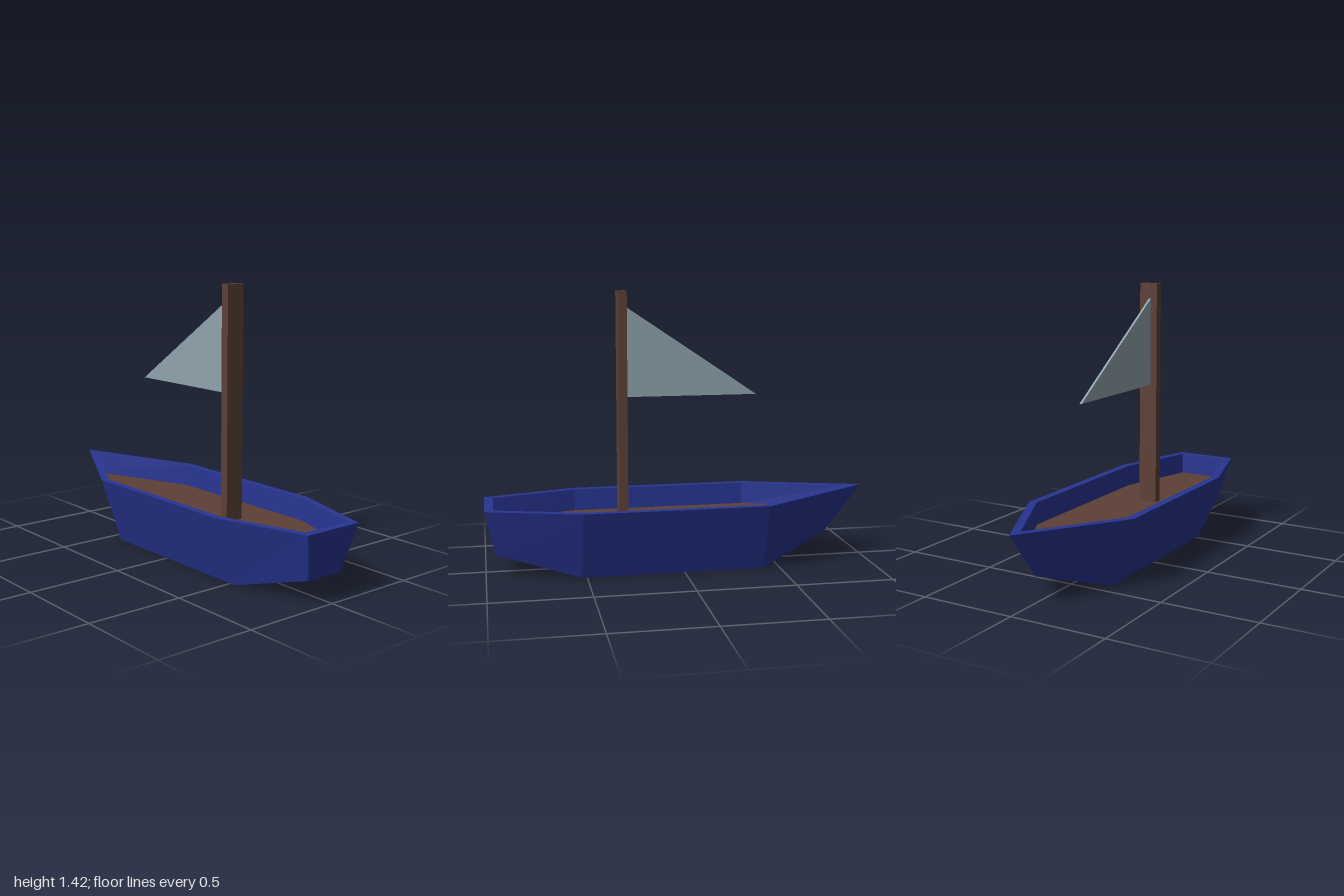
import * as THREE from 'three';

// Plan outline from three [halfWidth, y, z] stations and a bow point, counterclockwise from above
function ring(stations, bow) {
  const left = stations.map(([x, y, z]) => [x, y, z]);
  const right = stations.map(([x, y, z]) => [-x, y, z]).reverse();
  return [...left, [0, ...bow], ...right];
}

// Faces joining two rings, one quad per side
function band(a, b) {
  const tris = [];
  a.forEach((p, i) => {
    const j = (i + 1) % a.length;
    tris.push(p, a[j], b[j], p, b[j], b[i]);
  });
  return tris;
}

// Crosswise strips closing a ring, facing up or down
function cap(r, up) {
  const n = r.length, tris = [];
  const add = (a, b, c) => (up ? tris.push(a, b, c) : tris.push(a, c, b));
  for (let i = 0; i < 2; i++) {
    const a = r[i], b = r[i + 1], c = r[n - 2 - i], d = r[n - 1 - i];
    add(a, b, c);
    add(a, c, d);
  }
  add(r[2], r[3], r[4]);
  return tris;
}

function facets(tris) {
  const geo = new THREE.BufferGeometry();
  geo.setAttribute('position', new THREE.Float32BufferAttribute(tris.flat(), 3));
  geo.computeVertexNormals();
  return geo;
}

export function createModel() {
  const group = new THREE.Group();
  const mat = (name, color) => {
    const m = new THREE.MeshStandardMaterial({ color, flatShading: true });
    m.name = name;
    return m;
  };
  const blue = mat('hullBlue', 0x283593);
  const wood = mat('woodBrown', 0x5d4037);
  const cloth = mat('sailGrey', 0x90a4ae);
  const add = (name, geo, material) => {
    const mesh = new THREE.Mesh(geo, material);
    mesh.name = name;
    group.add(mesh);
    return mesh;
  };

  // Hull cross-sections: keel outline, outer rim, inner rim, floor outline
  const keel = ring([[0.105, 0.118, 0.95], [0.185, 0, 0.53], [0.185, 0, -0.415]], [0.13, -0.8]);
  const outer = ring([[0.165, 0.355, 1], [0.305, 0.355, 0.525], [0.305, 0.355, -0.415]], [0.38, -1]);
  const inner = ring([[0.138, 0.355, 0.955], [0.265, 0.355, 0.52], [0.265, 0.355, -0.405]], [0.376, -0.91]);
  const floor = ring([[0.136, 0.24, 0.955], [0.264, 0.24, 0.52], [0.264, 0.24, -0.405]], [0.26, -0.895]);

  // Hull shell with bottom, sides, rim and inside walls
  add('hull', facets([
    ...cap(keel, false), ...band(keel, outer), ...band(outer, inner), ...band(inner, floor),
  ]), blue);
  add('deck', facets(cap(floor, true)), wood);

  // Mast stands on the deck
  add('mast', new THREE.BoxGeometry(0.1, 1.185, 0.045), wood).position.set(0, 0.8325, 0.2925);

  // Triangular sail, drawn in (-z, y) and turned to run aft of the mast
  const shape = new THREE.Shape();
  shape.moveTo(-0.27, 0.885);
  shape.lineTo(0.415, 0.885);
  shape.lineTo(-0.27, 1.345);
  const sailGeo = new THREE.ExtrudeGeometry(shape, { depth: 0.012, bevelEnabled: false });
  sailGeo.rotateY(Math.PI / 2);
  add('sail', sailGeo, cloth).position.x = -0.014;

  return group;
}
